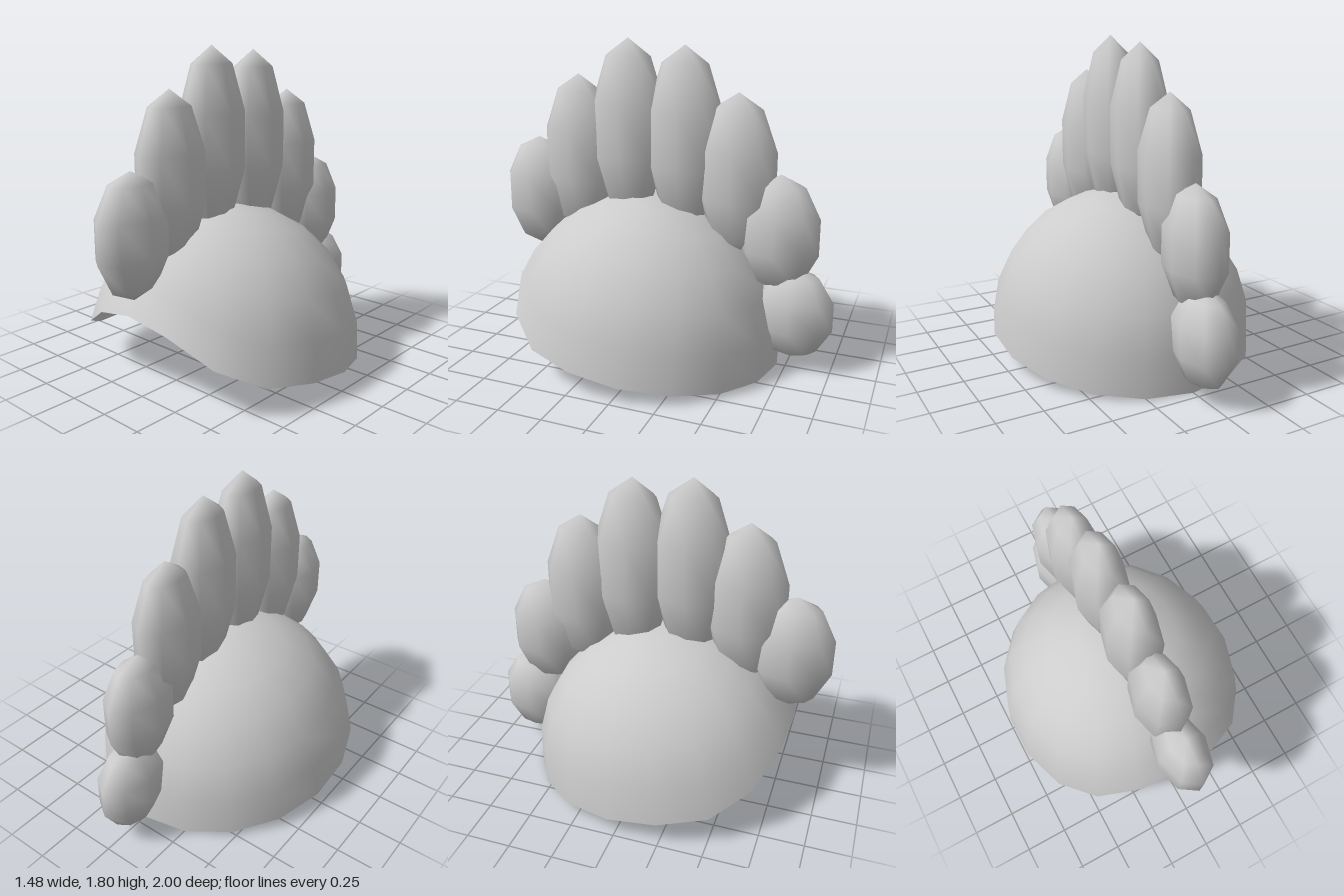
import * as THREE from 'three';

const SIDES = 18, RINGS = 6;

// Open helmet dome: an elliptical cap whose rim rises into an arch at the front
function domeGeometry() {
  const arch = [18.5, 15, 5.8]; // rim elevation in degrees, from the front centre outwards
  const pos = [0, 0.81, 0], index = [];
  for (let r = 1; r <= RINGS; r++) {
    for (let s = 0; s < SIDES; s++) {
      const rim = 90 - (arch[Math.min(s, SIDES - s)] ?? 0);
      const polar = THREE.MathUtils.degToRad(rim * r / RINGS);
      const a = s / SIDES * Math.PI * 2;
      pos.push(0.75 * Math.sin(polar) * Math.sin(a), 0.81 * Math.cos(polar), 0.81 * Math.sin(polar) * Math.cos(a));
    }
  }
  const id = (r, s) => 1 + (r - 1) * SIDES + s % SIDES;
  for (let s = 0; s < SIDES; s++) {
    index.push(0, id(1, s), id(1, s + 1));
    for (let r = 1; r < RINGS; r++) {
      index.push(id(r, s), id(r + 1, s), id(r + 1, s + 1));
      index.push(id(r, s), id(r + 1, s + 1), id(r, s + 1));
    }
  }
  const g = new THREE.BufferGeometry();
  g.setAttribute('position', new THREE.Float32BufferAttribute(pos, 3));
  g.setIndex(index);
  g.computeVertexNormals();
  return g;
}

export function createModel() {
  const model = new THREE.Group();
  model.name = 'crestedHelmet';
  const grey = new THREE.MeshStandardMaterial({ color: 0xcccccc, side: THREE.DoubleSide });
  grey.name = 'lightGrey';

  // Dome, tipped back so the rear of the rim touches the ground
  const dome = new THREE.Mesh(domeGeometry(), grey);
  dome.name = 'dome';
  dome.position.set(0, 0.112, 0.1);
  dome.rotation.x = -THREE.MathUtils.degToRad(8);
  model.add(dome);

  // Crest of seven flattened plumes, front to back: [z, centre y, half height]
  const crest = new THREE.Group();
  crest.name = 'crest';
  const plumes = [
    [0.78, 0.88, 0.333],
    [0.51, 1.13, 0.462],
    [0.2, 1.29, 0.51],
    [-0.135, 1.26, 0.51],
    [-0.44, 1.08, 0.45],
    [-0.685, 0.775, 0.33],
    [-0.78, 0.33, 0.265],
  ];
  plumes.forEach(([z, y, h], i) => {
    const g = new THREE.SphereGeometry(1, 8, 5);
    g.scale(0.147, h, 0.231);
    const plume = new THREE.Mesh(g, grey);
    plume.name = `plume${i + 1}`;
    plume.position.set(0, y, z);
    crest.add(plume);
  });
  model.add(crest);
  return model;
}
